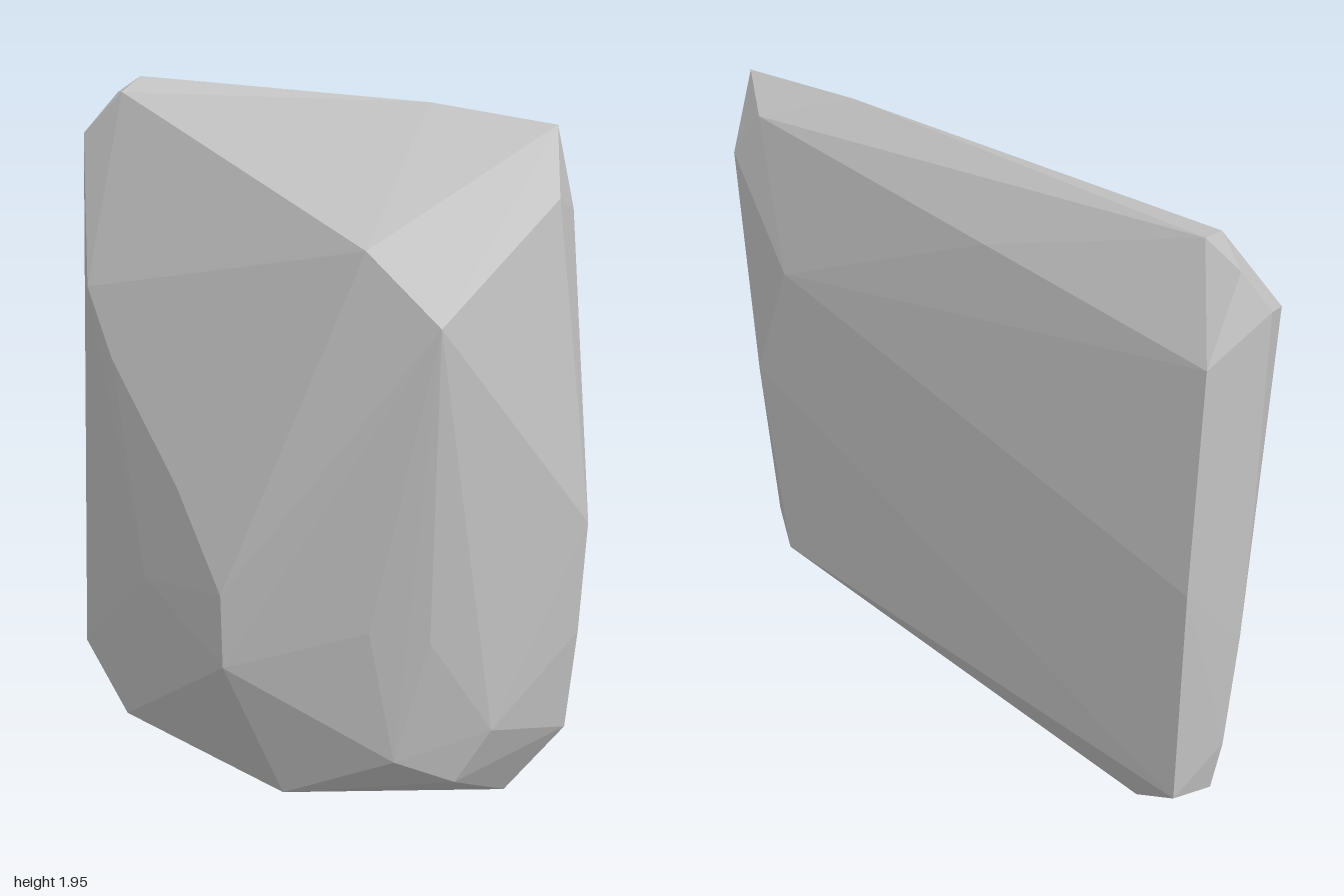
import * as THREE from 'three';
import { ConvexGeometry } from 'three/addons/geometries/ConvexGeometry.js';

export function createModel() {
  const group = new THREE.Group();
  group.name = 'rock';
  const stone = new THREE.MeshStandardMaterial({ color: 0xc8c8c8, flatShading: true });
  stone.name = 'grey stone';

  // corners of the chipped boulder, by region
  const crown = [
    [-0.82, 1.95, -0.3], [-0.92, 1.9, -0.29], [-1, 1.82, -0.27], [-0.77, 1.9, -0.18],
    [-0.95, 1.77, -0.17], [0.4, 1.875, -0.3], [0.83, 1.82, -0.31], [0.95, 1.64, -0.17],
  ];
  const frontRidges = [
    [0.63, 1.51, 0.2], [0.91, 1.34, 0.23], [0.33, 0.6, 0.425], [0.35, 0.41, 0.435],
    [-0.62, 1.32, 0.09], [-0.4, 1.13, 0.18], [0.05, 0.84, 0.33], [-0.1, 0.55, 0.315],
    [0.7, 0.54, 0.25], [0.82, 0.52, 0.15],
  ];
  const sides = [
    [1, 0.8, -0.26], [0.97, 1.2, -0.22], [0.97, 0.5, -0.27], [0.92, 0.22, -0.29], [0.88, 0.26, -0.03],
    [-0.97, 1.2, -0.24], [-0.95, 0.8, -0.23], [-0.92, 0.4, -0.23], [-0.88, 0.2, -0.22],
    [-0.66, 0.2, 0.08],
  ];
  const back = [
    [-0.92, 1.68, -0.39], [-0.9, 1, -0.39], [-0.85, 0.22, -0.34], [0.58, 1.32, -0.44],
    [0.82, 1.6, -0.4], [0.78, 0.9, -0.415], [0.8, 0.16, -0.35], [-0.2, 1.72, -0.4], [0.7, 1.75, -0.39],
  ];
  const base = [
    [-0.63, 0, -0.24], [-0.47, 0.1, 0.1], [-0.31, 0.075, 0.21], [0.4, 0.035, 0.26],
    [0.79, 0.03, -0.2], [0.8, 0.11, 0.02], [0.72, 0.18, 0.17],
  ];

  const points = [crown, frontRidges, sides, back, base].flat().map((p) => new THREE.Vector3(...p));
  const boulder = new THREE.Mesh(new ConvexGeometry(points), stone);
  boulder.name = 'boulder';
  group.add(boulder);
  return group;
}
